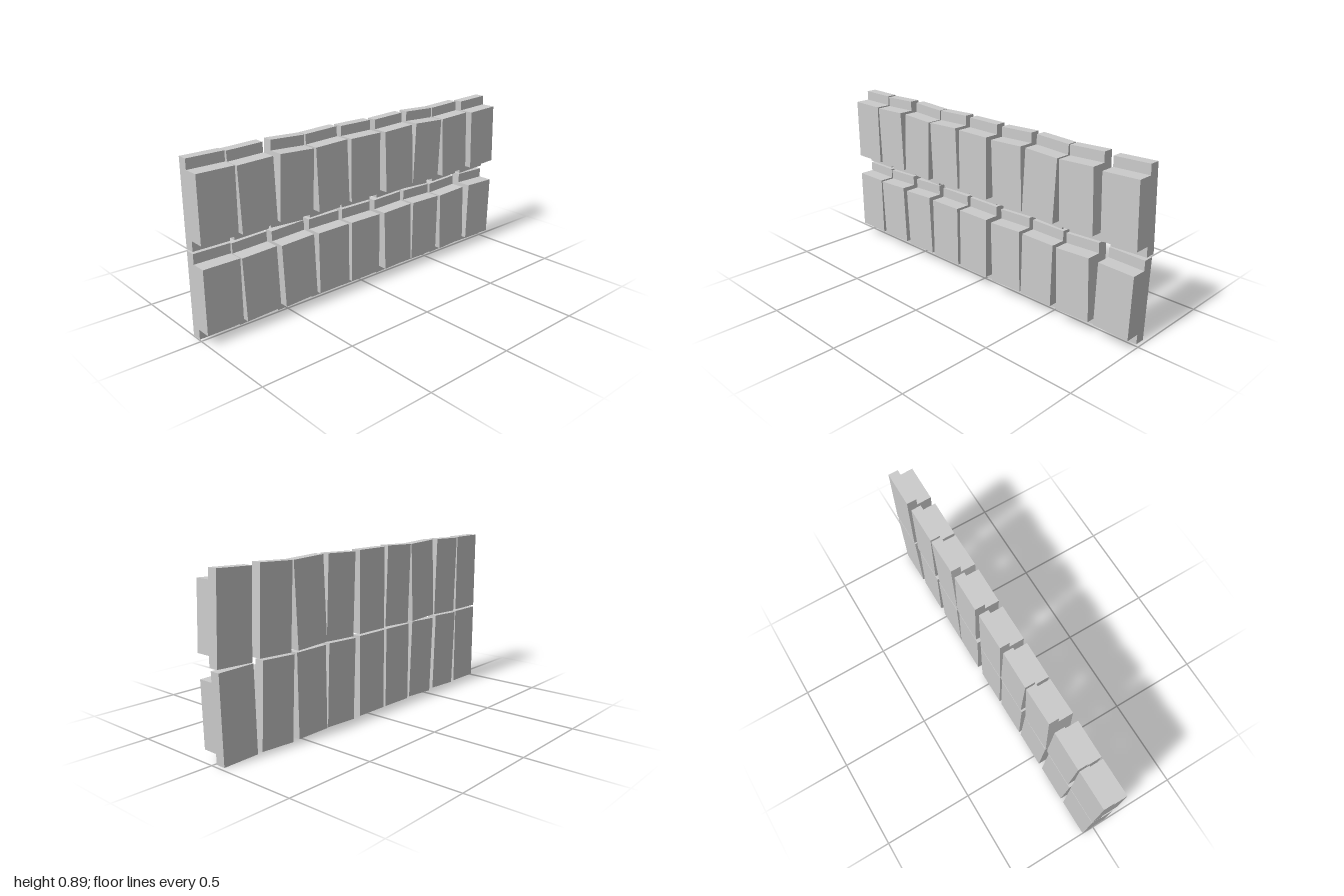
import * as THREE from 'three';

const WIDTH = 0.196;

// Each block: [centre z, lean towards +z in radians]
const ROWS = [
  { name: 'lowerRow', y: 0.223, blocks: [
    [0.902, 0], [0.69, 0.04], [0.463, 0.045], [0.242, 0.008], [0.026, 0],
    [-0.212, 0.035], [-0.424, -0.012], [-0.65, 0.045], [-0.889, -0.022]] },
  { name: 'upperRow', y: 0.67, blocks: [
    [0.902, 0], [0.69, 0.035], [0.465, -0.045], [0.243, 0.04], [0.026, 0],
    [-0.213, 0.04], [-0.427, -0.045], [-0.65, 0.045], [-0.892, 0.038]] },
];

// Stepped cross-section: tall back slab with a shorter raised face
function blockGeometry() {
  const profile = new THREE.Shape([
    [-0.067, -0.218], [-0.013, -0.218], [-0.013, -0.166], [0.067, -0.166],
    [0.067, 0.166], [-0.013, 0.166], [-0.013, 0.218], [-0.067, 0.218],
  ].map(([x, y]) => new THREE.Vector2(x, y)));
  const geometry = new THREE.ExtrudeGeometry(profile, { depth: WIDTH, bevelEnabled: false });
  return geometry.translate(0, 0, -WIDTH / 2);
}

export function createModel() {
  const model = new THREE.Group();
  model.name = 'blockWall';
  const material = new THREE.MeshStandardMaterial({ color: 0xcccccc, flatShading: true });
  const geometry = blockGeometry();

  // Two rows of loosely set, slightly leaning blocks
  for (const { name, y, blocks } of ROWS) {
    const row = new THREE.Group();
    row.name = name;
    blocks.forEach(([z, lean], i) => {
      const block = new THREE.Mesh(geometry, material);
      block.name = `block${i + 1}`;
      block.position.set(0, y, z);
      block.rotation.x = lean;
      row.add(block);
    });
    model.add(row);
  }
  return model;
}
